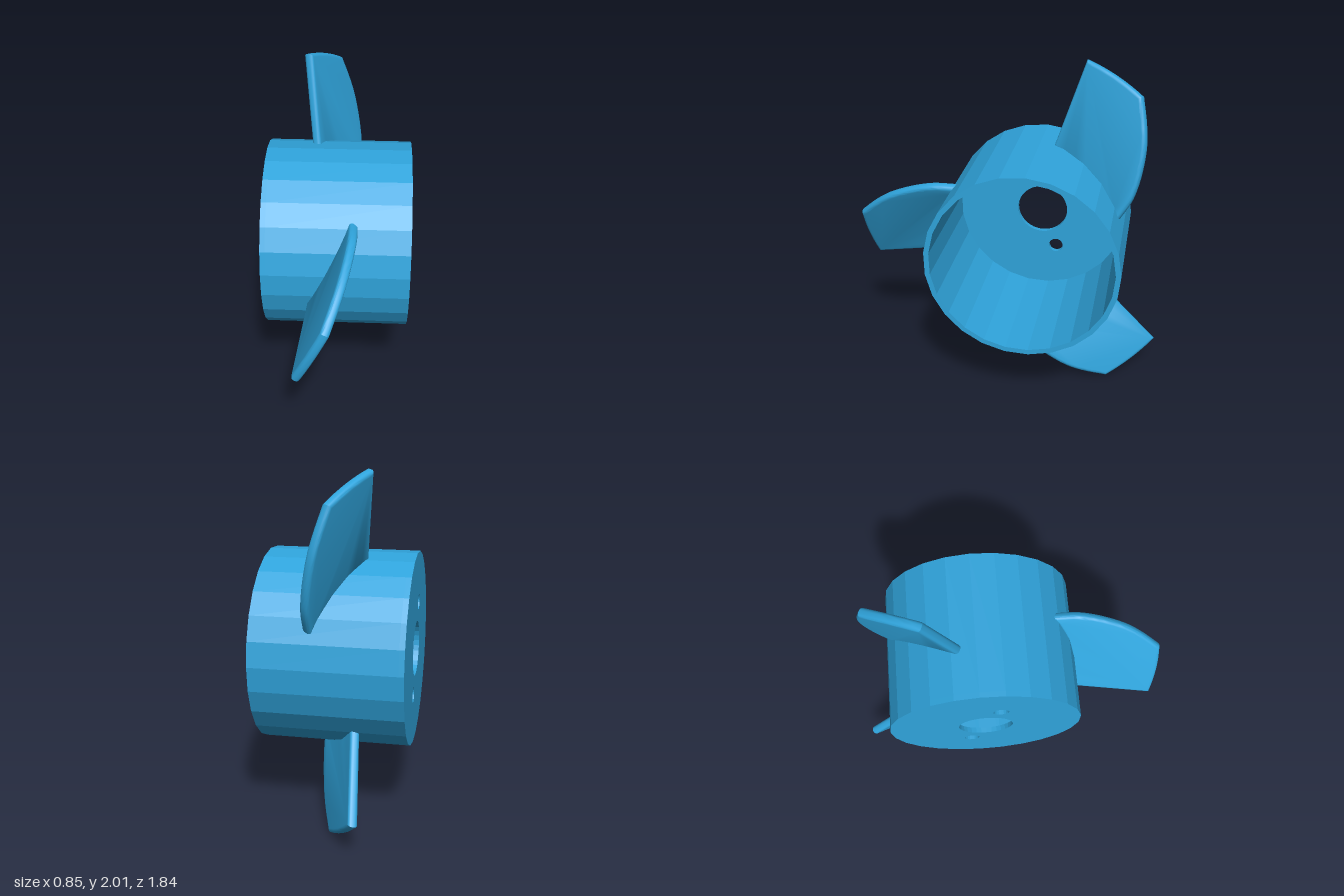
import * as THREE from 'three';
import { toCreasedNormals } from 'three/addons/utils/BufferGeometryUtils.js';

const HUB_R = 0.56, WALL = 0.03, FRONT_X = 0.42, BACK_X = -0.425;
const AXIS_Y = 0.965, AXIS_Z = -0.155;
const PITCH = 0.448; // blade twist away from the hub's cross-section

// Profiles are drawn as (z, y) around the hub axis
function ring(r, n, cz = 0, cy = 0, start = 0) {
  return Array.from({ length: n }, (_, i) => {
    const a = start + (i / n) * Math.PI * 2;
    return new THREE.Vector2(cz + r * Math.cos(a), cy + r * Math.sin(a));
  });
}

// Extrudes a (z, y) profile towards -x, starting at x, optionally pitched
function extrude(shape, x, options, pitch = 0) {
  const geo = new THREE.ExtrudeGeometry(shape, { bevelEnabled: false, ...options });
  const s = Math.sin(pitch), c = Math.cos(pitch);
  const m = new THREE.Matrix4().makeBasis(
    new THREE.Vector3(0, 0, 1), new THREE.Vector3(s, c, 0), new THREE.Vector3(-c, s, 0));
  return geo.applyMatrix4(m.setPosition(x, 0, 0));
}

function bladeGeometry() {
  const v = (z, y) => new THREE.Vector2(z, y / Math.cos(PITCH));
  const pts = [v(0.51, -0.175)];
  // tip arc
  for (let i = 0; i <= 8; i++) {
    const a = -0.269 + (i / 8) * 0.33;
    pts.push(v(1.075 * Math.cos(a), 1.075 * Math.sin(a)));
  }
  // swept trailing edge
  const sweep = new THREE.SplineCurve([
    v(1.073, 0.065), v(0.97, 0.157), v(0.87, 0.228), v(0.76, 0.28),
    v(0.66, 0.315), v(0.56, 0.336), v(0.422, 0.338)]);
  pts.push(...sweep.getPoints(20).slice(1));
  // root follows the hub wall
  for (let i = 1; i < 8; i++) {
    const a = 0.675 - (i / 8) * 1.005;
    pts.push(v(0.541 * Math.cos(a), 0.541 * Math.sin(a)));
  }
  const t = 0.054, b = 0.02;
  const geo = extrude(new THREE.Shape(pts), 0, {
    depth: t - 2 * b, bevelEnabled: true, bevelThickness: b,
    bevelSize: b, bevelOffset: -b, bevelSegments: 4 }, PITCH);
  const half = t / 2 - b;
  geo.translate(-0.06 + half * Math.cos(PITCH), -half * Math.sin(PITCH), 0);
  return toCreasedNormals(geo, 0.6);
}

export function createModel() {
  const group = new THREE.Group();
  const material = new THREE.MeshStandardMaterial({ color: 0x2fa4dc });
  const rotor = new THREE.Group();
  rotor.name = 'rotor';
  rotor.position.set(0, AXIS_Y, AXIS_Z);
  group.add(rotor);

  const add = (name, geo) => {
    const mesh = new THREE.Mesh(geo, material);
    mesh.name = name;
    rotor.add(mesh);
    return mesh;
  };

  // Faceted open drum
  const start = 1.607, sides = 25;
  const wall = new THREE.Shape(ring(HUB_R, sides, 0, 0, start));
  wall.holes.push(new THREE.Path(ring(HUB_R - WALL, sides, 0, 0, start)));
  add('hubWall', extrude(wall, FRONT_X, { depth: FRONT_X - BACK_X - WALL }));

  // End plate with shaft bore and two bolt holes
  const plate = new THREE.Shape(ring(HUB_R, sides, 0, 0, start));
  plate.holes.push(new THREE.Path(ring(0.158, 32)));
  for (const s of [1, -1]) {
    plate.holes.push(new THREE.Path(ring(0.045, 20, s * 0.092, s * 0.253)));
  }
  add('hubEndPlate', extrude(plate, BACK_X + WALL, { depth: WALL }));

  // Three pitched blades
  const blade = bladeGeometry();
  for (let i = 0; i < 3; i++) {
    add('blade' + (i + 1), blade).rotation.x = (i * Math.PI * 2) / 3;
  }
  return group;
}
